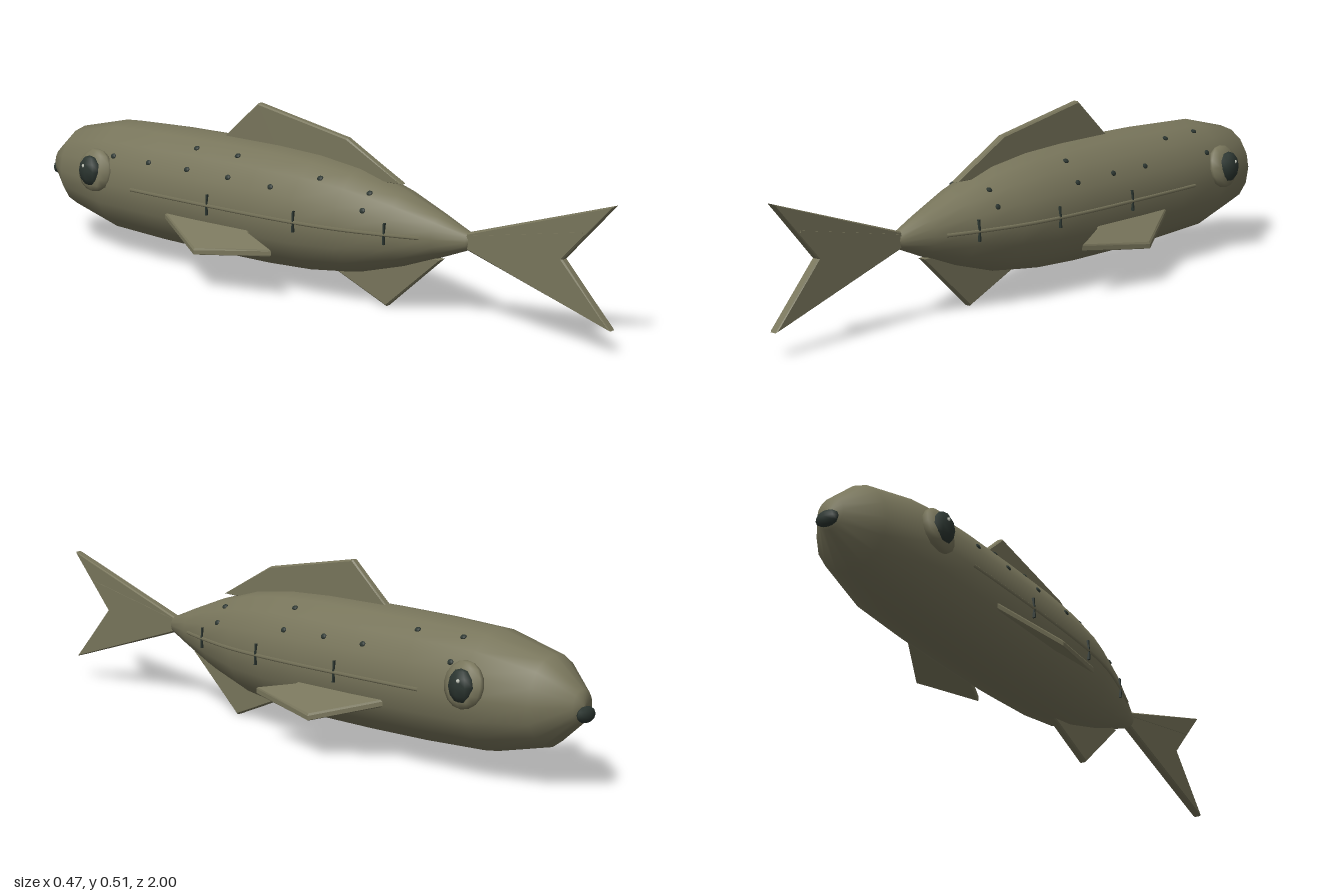
import * as THREE from 'three';

const mat = (name, color, flatShading = false) => {
  const m = new THREE.MeshStandardMaterial({ color, flatShading });
  m.name = name;
  return m;
};

const CY = 0.232;      // height of the body axis
const TALL = 1.13;     // body is slightly taller than wide
// body profile: half width, z (nose to tail)
const PROFILE = [
  [0, -0.98], [0.04, -0.972], [0.108, -0.88], [0.146, -0.7], [0.153, -0.5], [0.155, -0.3],
  [0.154, -0.1], [0.148, 0.05], [0.132, 0.19], [0.094, 0.34], [0.054, 0.46], [0.022, 0.55], [0, 0.56],
];

function halfWidth(z) {
  for (let i = 1; i < PROFILE.length; i++) {
    const [r0, z0] = PROFILE[i - 1], [r1, z1] = PROFILE[i];
    if (z <= z1) return r0 + (r1 - r0) * (z - z0) / (z1 - z0);
  }
  return 0;
}

// point on the flank at height y
function flankX(z, y) {
  const r = halfWidth(z), t = (y - CY) / (TALL * r);
  return r * Math.sqrt(Math.max(0, 1 - t * t)) * 0.99;
}

// bevelled plate from a 2D outline, centred on its own plane
function plate(points, thickness, bevel = 0.004) {
  const shape = new THREE.Shape(points.map(p => new THREE.Vector2(...p)));
  const geo = new THREE.ExtrudeGeometry(shape, {
    depth: thickness - 2 * bevel, bevelEnabled: true, bevelSegments: 1,
    bevelSize: bevel, bevelThickness: bevel, bevelOffset: -bevel,
  });
  return geo.translate(0, 0, -(thickness - 2 * bevel) / 2);
}

export function createModel() {
  const root = new THREE.Group();
  root.name = 'fish';
  const olive = mat('olive skin', 0x78755b);
  const oliveFin = olive;
  const dark = mat('dark markings', 0x2b3530);
  const light = mat('eye glint', 0xc8ccc0);

  const add = (name, geo, material, parent = root) => {
    const m = new THREE.Mesh(geo, material);
    m.name = name;
    parent.add(m);
    return m;
  };

  // body
  const body = new THREE.LatheGeometry(PROFILE.map(p => new THREE.Vector2(...p)), 16);
  body.rotateX(Math.PI / 2).scale(1, TALL, 1).translate(0, CY, 0);
  add('body', body, olive);

  // snout tip
  add('snout', new THREE.SphereGeometry(1, 8, 6).scale(0.035, 0.022, 0.016).translate(0, 0.213, -0.984), dark);

  // upright fins, outlines in (z, y)
  const upright = (name, pts, t) => add(name, plate(pts, t).rotateY(-Math.PI / 2), oliveFin);
  upright('dorsalFin', [[0.33, 0.355], [0.14, 0.457], [-0.18, 0.515], [-0.31, 0.4], [-0.1, 0.37], [0.15, 0.35]], 0.022);
  upright('tailFin', [[0.53, 0.25], [1, 0.4], [0.85, 0.235], [1, 0.07], [0.53, 0.215]], 0.025);
  upright('analFin', [[0.465, 0.167], [0.28, 0.002], [0.09, 0.08], [0.12, 0.13], [0.35, 0.17]], 0.022);

  // raised ray on the tail
  const ray = new THREE.BoxGeometry(0.029, 0.006, 0.37);
  add('tailRay', ray.rotateX(-Math.atan2(0.07, 0.36)).translate(0, 0.281, 0.73), oliveFin);

  for (const s of [1, -1]) {
    const side = new THREE.Group();
    side.name = s > 0 ? 'leftSide' : 'rightSide';
    root.add(side);

    // pectoral fin, drooping outwards
    const pts = [[0.145, -0.42], [0.235, -0.23], [0.188, 0.015], [0.148, -0.1], [0.125, -0.12], [0.125, -0.38]];
    const fin = plate(pts.map(([x, z]) => [s * x, z]), 0.02).rotateX(Math.PI / 2);
    const pos = fin.attributes.position;
    for (let i = 0; i < pos.count; i++) {
      pos.setY(i, pos.getY(i) + 0.172 - 0.62 * (Math.abs(pos.getX(i)) - 0.145));
    }
    fin.computeVertexNormals();
    add('pectoralFin', fin, oliveFin, side);

    // eye
    const eye = new THREE.Group();
    eye.name = 'eye';
    side.add(eye);
    const socket = add('eyeSocket', new THREE.SphereGeometry(1, 10, 8).scale(0.026, 0.064, 0.064), olive, eye);
    socket.position.set(s * 0.142, 0.268, -0.7);
    socket.rotation.z = s * 0.2;
    const ball = add('eyeball', new THREE.SphereGeometry(1, 8, 6).scale(0.026, 0.046, 0.04), dark, eye);
    ball.position.set(s * 0.159, 0.268, -0.705);
    const glint = add('eyeGlint', new THREE.SphereGeometry(0.006, 6, 4), light, eye);
    glint.position.set(s * 0.179, 0.285, -0.712);

    // lateral line
    const path = [];
    for (let z = -0.55; z <= 0.44; z += 0.07) path.push(new THREE.Vector3(s * (halfWidth(z) + 0.001), 0.233, z));
    add('lateralLine', new THREE.TubeGeometry(new THREE.CatmullRomCurve3(path), 28, 0.005, 4), olive, side);

    // short upright flank marks
    for (const z of [0.335, 0.06, -0.25]) {
      const mark = add('flankMark', new THREE.BoxGeometry(0.008, 0.06, 0.005), dark, side);
      mark.position.set(s * (halfWidth(z) - 0.001), 0.235, z);
      mark.rotation.z = s * 0.06;
    }

    // scattered spots (z, y)
    const spots = s > 0
      ? [[-0.64, 0.375], [-0.64, 0.316], [-0.49, 0.375], [-0.335, 0.32], [-0.19, 0.32], [-0.035, 0.372],
        [-0.035, 0.316], [0.265, 0.333], [0.265, 0.29]]
      : [[-0.64, 0.316], [-0.495, 0.318], [-0.345, 0.375], [-0.345, 0.32], [-0.19, 0.375], [-0.19, 0.32],
        [-0.035, 0.316], [0.11, 0.355], [0.265, 0.333], [0.265, 0.29]];
    for (const [z, y] of spots) {
      const x = s * flankX(z, y);
      const spot = add('spot', new THREE.SphereGeometry(1, 8, 6).scale(0.01, 0.008, 0.004), dark, side);
      spot.position.set(x, y, z);
      spot.lookAt(x * 2, y + (y - CY) / (TALL * TALL), z);
    }
  }
  return root;
}
